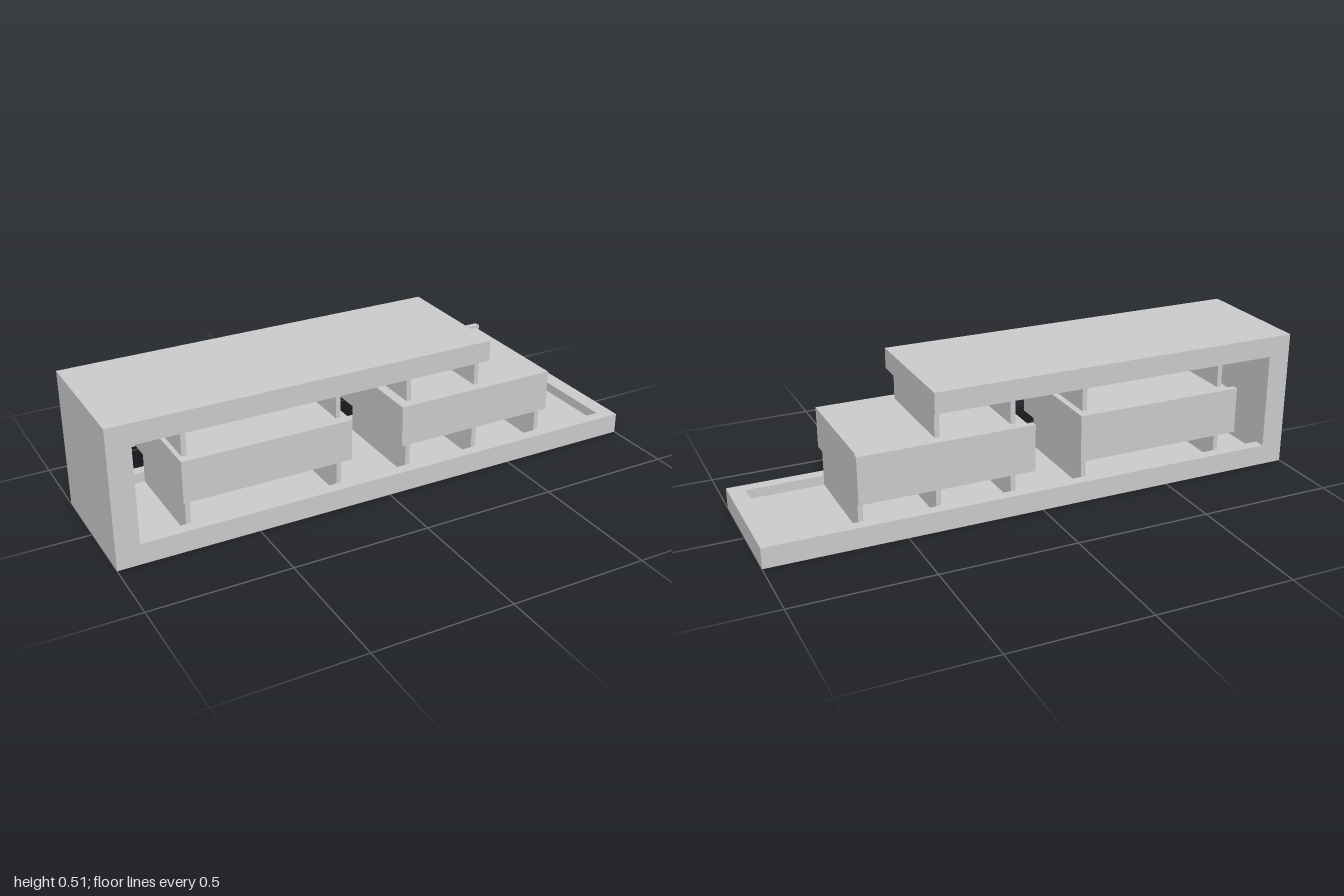
import * as THREE from 'three';

const material = new THREE.MeshStandardMaterial({ color: 0xcccccc });

// Box given by its minimum and maximum on each axis
function box(name, [x0, x1], [y0, y1], [z0, z1]) {
  const mesh = new THREE.Mesh(new THREE.BoxGeometry(x1 - x0, y1 - y0, z1 - z0), material);
  mesh.position.set((x0 + x1) / 2, (y0 + y1) / 2, (z0 + z1) / 2);
  mesh.name = name;
  return mesh;
}

const outline = (points) => points.map(([x, y]) => new THREE.Vector2(x, y));

export function createModel() {
  const group = new THREE.Group();
  group.name = 'mediaStand';

  const back = -0.232, front = 0.248;      // frame depth
  const trayBack = -0.19, trayFront = 0.205; // recess depth
  const floorY = 0.04, rimY = 0.076, ceilingY = 0.43;

  // C-shaped frame: floor, left-hand end wall and shorter top slab
  const profile = new THREE.Shape(outline([
    [-1, 0], [1, 0], [1, floorY], [-0.917, floorY],
    [-0.917, ceilingY], [0.396, ceilingY], [0.396, 0.506], [-1, 0.506],
  ]));
  const frame = new THREE.Mesh(
    new THREE.ExtrudeGeometry(profile, { depth: front - back, bevelEnabled: false }), material);
  frame.position.z = back;
  frame.name = 'frame';
  group.add(frame);

  // Rim around the recessed tray in the base, open towards the end wall
  const rimShape = new THREE.Shape(outline([
    [-0.917, -front], [1, -front], [1, -back], [-0.917, -back],
    [-0.917, -trayBack], [0.94, -trayBack], [0.94, -trayFront], [-0.917, -trayFront],
  ]));
  const rim = new THREE.Mesh(
    new THREE.ExtrudeGeometry(rimShape, { depth: rimY - floorY, bevelEnabled: false }), material);
  rim.rotation.x = -Math.PI / 2;
  rim.position.y = floorY;
  rim.name = 'trayRim';
  group.add(rim);

  // Drawer boxes, each with a slightly larger panel on the back
  for (const [name, x0, x1] of [['rightDrawer', -0.76, -0.147], ['leftDrawer', 0.05, 0.663]]) {
    const drawer = new THREE.Group();
    drawer.name = name;
    drawer.add(
      box('drawerBox', [x0, x1], [0.176, 0.327], [-0.226, 0.241]),
      box('drawerBackPanel', [x0 - 0.011, x1 + 0.011], [0.165, 0.337], [-0.248, -0.226]),
    );
    group.add(drawer);
  }

  // Upright dividers; the last one only carries the overhanging drawer
  const uprights = [[-0.735, ceilingY], [-0.18, ceilingY], [0.095, ceilingY], [0.373, ceilingY], [0.65, 0.18]];
  for (const [x, top] of uprights) {
    group.add(box('divider', [x - 0.009, x + 0.009], [floorY, top], [-0.186, trayFront]));
  }

  return group;
}
